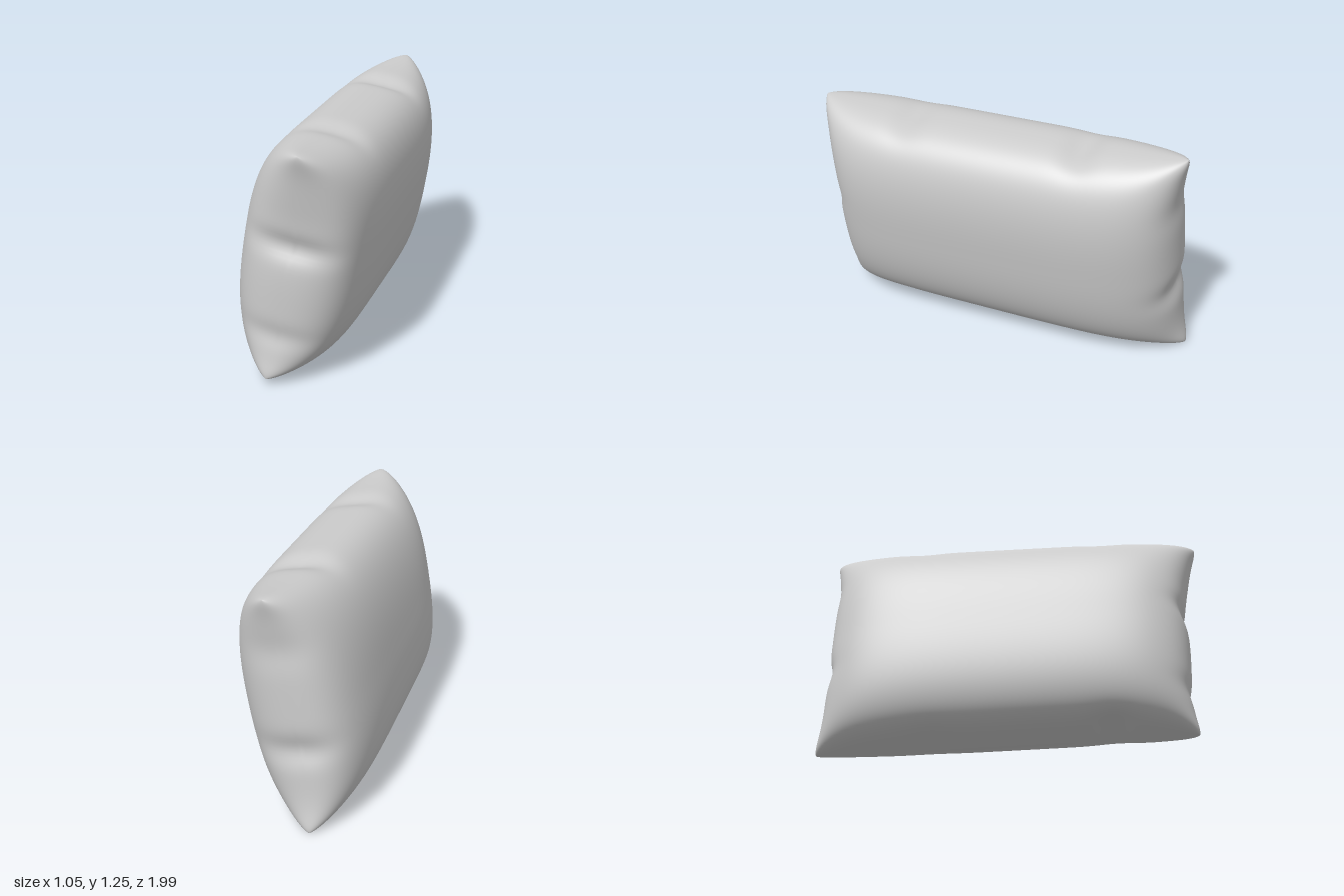
import * as THREE from 'three';
import { mergeVertices } from 'three/addons/utils/BufferGeometryUtils.js';

// Seam corners of the slanted pillow, before they are rounded off
const FRONT_TOP = new THREE.Vector3(0.345, 1.245, 1.0);
const FRONT_LOW = new THREE.Vector3(0.14, 0.03, 1.01);
const BACK_TOP = new THREE.Vector3(-0.21, 1.263, -1.015);
const BACK_LOW = new THREE.Vector3(-0.43, -0.008, -0.965);
const NORMAL = new THREE.Vector3(1, -0.18, -0.27).normalize();
const LEFT_THICKNESS = 0.352;
const RIGHT_THICKNESS = 0.322;

// Puckers along the seam: which edge, place along it (-1..1), depth, width
const PUCKERS = [
  { axis: 'u', sign: 1, at: 0.17, depth: 0.03, width: 0.1 },
  { axis: 'u', sign: 1, at: 0.3, depth: 0.025, width: 0.3 },
  { axis: 'u', sign: 1, at: -0.62, depth: 0.015, width: 0.1 },
  { axis: 'u', sign: -1, at: -0.3, depth: 0.03, width: 0.12 },
  { axis: 'u', sign: -1, at: 0.55, depth: 0.012, width: 0.15 },
  { axis: 'v', sign: 1, at: 0.48, depth: 0.025, width: 0.09 },
  { axis: 'v', sign: 1, at: -0.46, depth: 0.035, width: 0.09 },
  { axis: 'v', sign: -1, at: 0.56, depth: 0.035, width: 0.11 },
  { axis: 'v', sign: -1, at: -0.4, depth: 0.012, width: 0.14 },
];

// Full in the middle, falling round to the seam
const fullness = (s, power, roundness) => Math.max(0, 1 - Math.abs(s) ** power) ** roundness;

// u runs back to front, v bottom to top, side picks the +x or -x sheet
function pillowPoint(u, v, side) {
  // Round the corners off within the seam
  const across = (u * (1 - 0.02 * v ** 24) + 1) / 2;
  const up = (v * (1 - 0.02 * u ** 24) + 1) / 2;
  const low = BACK_LOW.clone().lerp(FRONT_LOW, across);
  const top = BACK_TOP.clone().lerp(FRONT_TOP, across);
  const p = low.lerp(top, up);

  // Seams sag inward between the corners
  p.z -= 0.055 * Math.sign(u) * Math.abs(u) ** 5 * (1 - v ** 6);
  p.y -= (v > 0 ? 0.03 : 0.055) * Math.sign(v) * Math.abs(v) ** 5 * (1 - u ** 6);

  // The front end is plumper than the back
  let thickness = side > 0 ? LEFT_THICKNESS : RIGHT_THICKNESS;
  thickness *= fullness(u, u > 0 ? 5.5 : 4.3, 0.45) * fullness(v, 2.6, 0.4);
  for (const { axis, sign, at, depth, width } of PUCKERS) {
    const reach = (axis === 'u' ? u : v) * sign;
    const along = axis === 'u' ? v : u;
    if (reach <= 0) continue;
    const bell = Math.exp(-(((along - at) / width) ** 2)) * reach ** 14;
    p[axis === 'u' ? 'z' : 'y'] -= sign * depth * bell;
    thickness *= 1 - depth * bell;
  }
  return p.addScaledVector(NORMAL, side * thickness);
}

function pillowGeometry(nu = 112, nv = 84) {
  const positions = [];
  const indices = [];
  // Sine spacing packs the rows close to the seam
  const spaced = (i, n) => (i === 0 ? -1 : i === n ? 1 : Math.sin((i / n - 0.5) * Math.PI));
  for (const side of [1, -1]) {
    const base = positions.length / 3;
    for (let j = 0; j <= nv; j++) {
      for (let i = 0; i <= nu; i++) {
        positions.push(...pillowPoint(spaced(i, nu), spaced(j, nv), side).toArray());
      }
    }
    for (let j = 0; j < nv; j++) {
      for (let i = 0; i < nu; i++) {
        const a = base + j * (nu + 1) + i;
        const b = a + 1;
        const c = a + nu + 1;
        const d = c + 1;
        if (side > 0) indices.push(a, c, b, b, c, d);
        else indices.push(a, b, c, b, d, c);
      }
    }
  }
  const raw = new THREE.BufferGeometry();
  raw.setAttribute('position', new THREE.Float32BufferAttribute(positions, 3));
  raw.setIndex(indices);
  // Join both sheets along the seam so the shading runs over it
  const geometry = mergeVertices(raw, 1e-5);
  geometry.computeBoundingBox();
  const { min, max } = geometry.boundingBox;
  geometry.translate(-(min.x + max.x) / 2, -min.y, -(min.z + max.z) / 2);
  geometry.computeVertexNormals();
  return geometry;
}

export function createModel() {
  const group = new THREE.Group();
  group.name = 'pillow';
  const cushion = new THREE.Mesh(
    pillowGeometry(),
    new THREE.MeshStandardMaterial({ color: 0xcccccc }),
  );
  cushion.name = 'cushion';
  group.add(cushion);
  return group;
}
